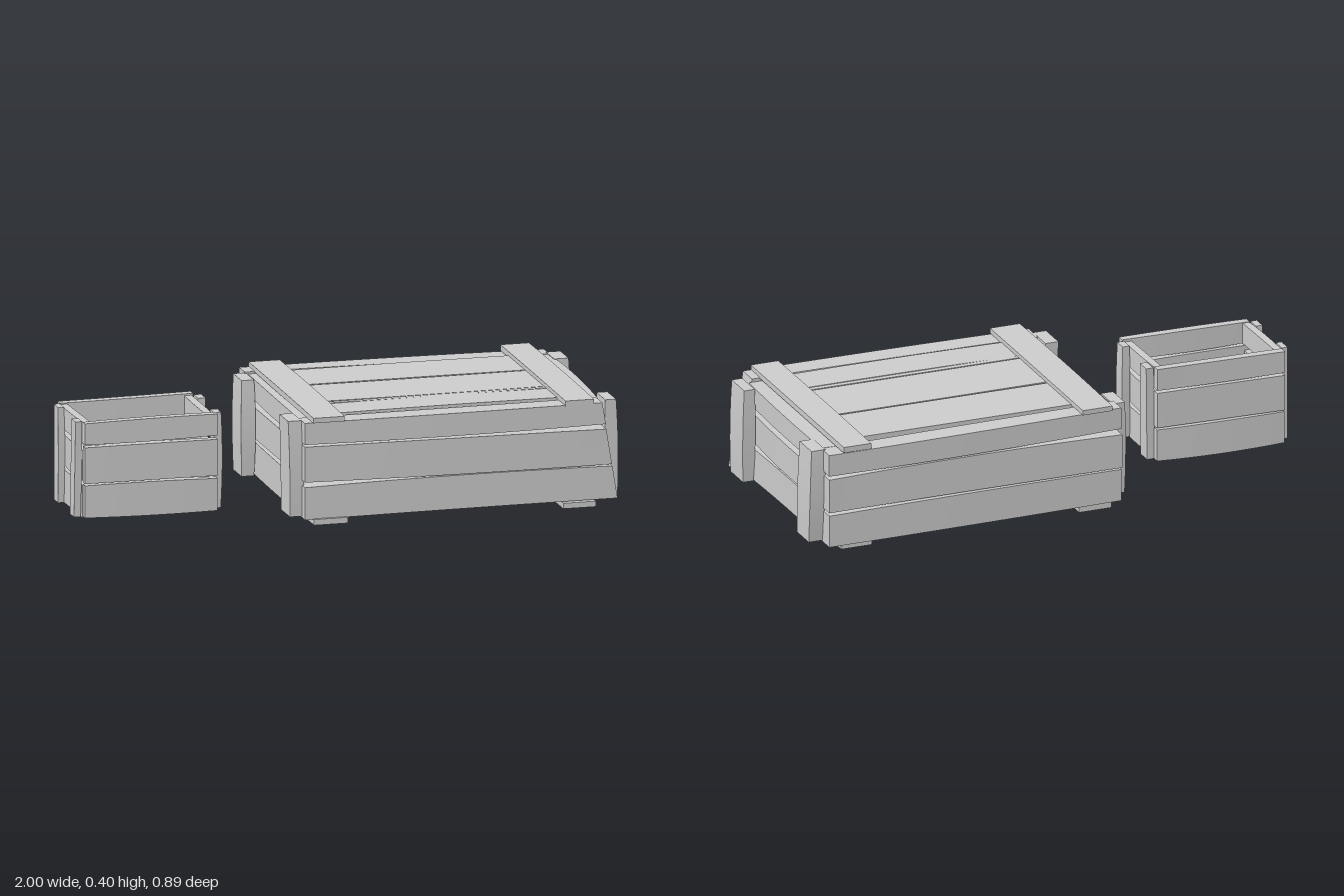
import * as THREE from 'three';

const material = new THREE.MeshStandardMaterial({ color: 0xcccccc });
let seed = 7;
const wobble = (a) => {
  seed = (seed * 16807) % 2147483647;
  return (seed / 2147483647 - 0.5) * 2 * a;
};

// A rough plank filling x, y and z ranges, gently bowed and skewed along its length
function plank(group, name, [x0, x1], [y0, y1], [z0, z1], { warp = 0.003, shape } = {}) {
  const size = [x1 - x0, y1 - y0, z1 - z0];
  const centre = [(x0 + x1) / 2, (y0 + y1) / 2, (z0 + z1) / 2];
  const axis = size.indexOf(Math.max(...size));
  const segs = [1, 1, 1];
  segs[axis] = 8;
  const geo = new THREE.BoxGeometry(...size, ...segs);
  const bow = [0, 1, 2].map(() => wobble(warp));
  const skew = [0, 1, 2].map(() => wobble(warp));
  const pinch = [0, 1, 2].map(() => Math.abs(wobble(warp)));
  const pos = geo.attributes.position;
  for (let i = 0; i < pos.count; i++) {
    const p = [pos.getX(i), pos.getY(i), pos.getZ(i)];
    const t = (2 * p[axis]) / size[axis];
    const q = p.map((v, k) => (k === axis ? v
      : v + bow[k] * (0.5 - t * t) + skew[k] * t - Math.sign(v) * pinch[k] * t * t));
    const v = new THREE.Vector3(...q.map((a, k) => a + centre[k]));
    if (shape) shape(v);
    pos.setXYZ(i, v.x, v.y, v.z);
  }
  geo.computeVertexNormals();
  const mesh = new THREE.Mesh(geo, material);
  mesh.name = name;
  group.add(mesh);
}

const sideRows = [[0.023, 0.149], [0.155, 0.291], [0.3, 0.385]];
const endRows = [[0.024, 0.147], [0.16, 0.276], [0.298, 0.379]];

// Long walls, end walls and corner posts shared by both crates
function crateBody(group, d) {
  sideRows.forEach((row) => {
    plank(group, 'frontBoard', d.frontX, row, d.frontZ, { warp: d.warp, shape: d.lean });
    plank(group, 'backBoard', d.backX, row, d.backZ, { warp: d.warp });
  });
  const endZ = [d.backZ[1], d.frontZ[0]];
  endRows.forEach((row) => {
    plank(group, 'leftEndBoard', d.leftX, row, endZ, { warp: d.warp });
    plank(group, 'rightEndBoard', d.rightX, row, endZ, { warp: d.warp });
  });
  d.posts.forEach(([x, z]) => plank(group, 'cornerPost', x, [0.026, 0.382], z, { warp: d.warp }));
  d.floorRows.forEach((z) => plank(group, 'floorBoard', d.floorX, d.floorY, z, { warp: 0.002 }));
}

export function createModel() {
  const model = new THREE.Group();

  // Large closed crate
  const large = new THREE.Group();
  large.name = 'largeCrate';
  const lidRows = [[-0.338, -0.108], [-0.1, 0.152], [0.158, 0.18], [0.183, 0.328]];
  crateBody(large, {
    frontX: [-0.2, 0.95], frontZ: [0.345, 0.432],
    backX: [-0.205, 0.945], backZ: [-0.442, -0.358],
    leftX: [-0.195, -0.125], rightX: [0.875, 0.945],
    posts: [
      [[-0.248, -0.195], [0.265, 0.39]], [[-0.25, -0.195], [-0.372, -0.25]],
      [[0.945, 0.995], [0.256, 0.378]], [[0.94, 0.998], [-0.385, -0.265]],
    ],
    floorX: [-0.12, 0.87], floorY: [0.024, 0.06],
    floorRows: [[-0.343, -0.105], [-0.1, 0.155], [0.16, 0.333]],
    warp: 0.005,
    // The right end of the front wall leans inward towards the top
    lean: (v) => { if (v.x > 0.7) v.x += ((v.x - 0.7) / 0.25) * (0.2 - v.y) * 0.16; },
  });
  lidRows.forEach((z) => plank(large, 'lidBoard', [-0.12, 0.87], [0.352, 0.39], z, { warp: 0.002 }));
  [[-0.17, -0.05], [0.78, 0.89]].forEach((x) =>
    plank(large, 'topSlat', x, [0.383, 0.405], [-0.444, 0.438], { warp: 0.002 }));
  [[-0.17, -0.04], [0.77, 0.895]].forEach((x) =>
    plank(large, 'bottomSlat', x, [0.002, 0.026], [-0.432, 0.442], { warp: 0.002 }));

  // Small open crate
  const small = new THREE.Group();
  small.name = 'smallCrate';
  crateBody(small, {
    frontX: [-0.968, -0.468], frontZ: [0.18, 0.214],
    backX: [-0.972, -0.472], backZ: [-0.14, -0.106],
    leftX: [-0.972, -0.942], rightX: [-0.505, -0.475],
    posts: [
      [[-0.998, -0.972], [0.125, 0.18]], [[-0.998, -0.972], [-0.105, -0.045]],
      [[-0.475, -0.443], [0.125, 0.182]], [[-0.475, -0.443], [-0.102, -0.042]],
    ],
    floorX: [-0.933, -0.515], floorY: [0.022, 0.055],
    floorRows: [[-0.105, -0.003], [0.004, 0.112], [0.122, 0.178]],
    warp: 0.003,
  });

  model.add(large, small);
  return model;
}
